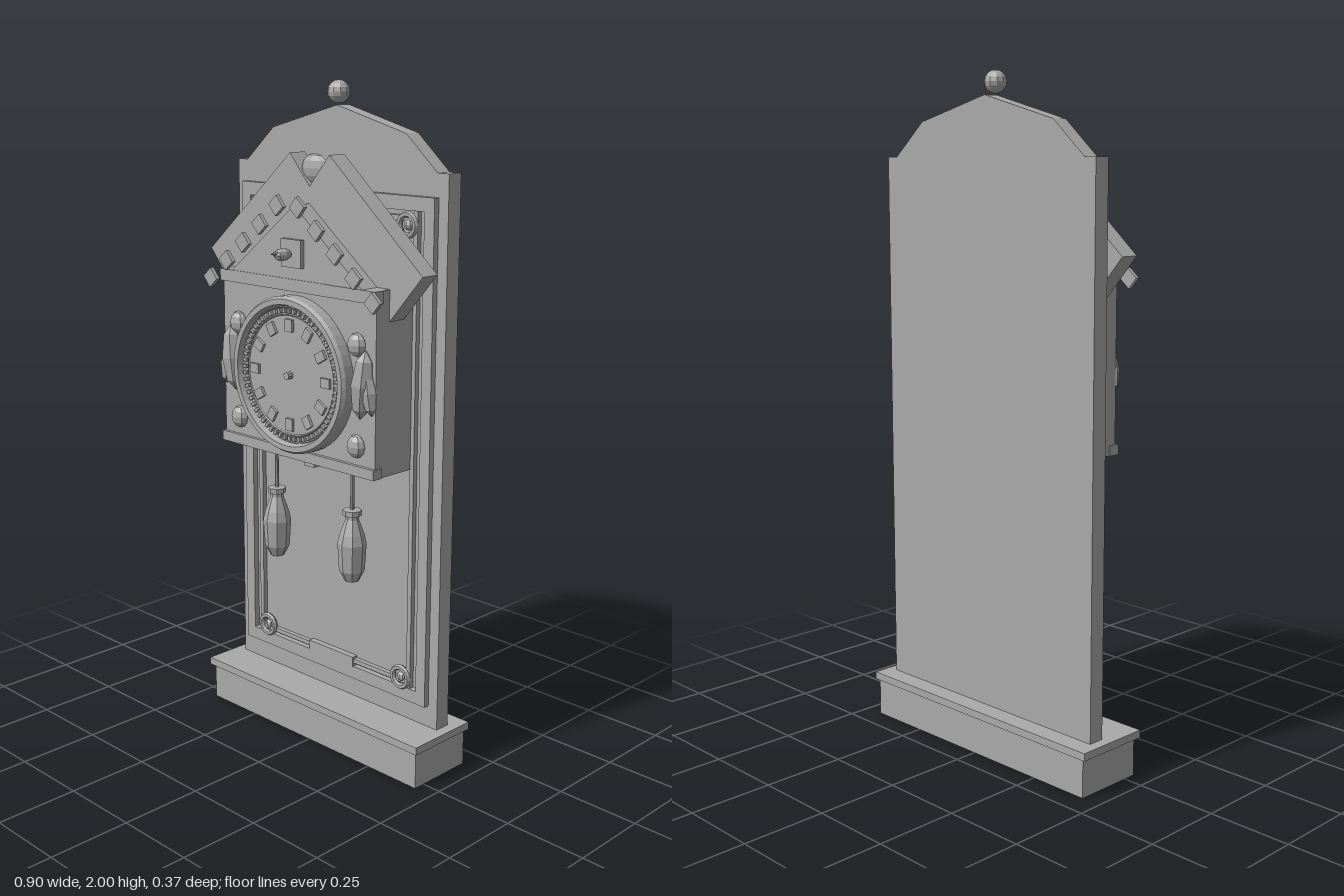
import * as THREE from 'three';

export function createModel() {
  const clock = new THREE.Group();
  clock.name = 'wallClock';
  const grey = new THREE.MeshStandardMaterial({ color: 0xaaaaaa, flatShading: true });
  grey.name = 'plain grey';

  const add = (name, geometry, x = 0, y = 0, z = 0) => {
    const mesh = new THREE.Mesh(geometry, grey);
    mesh.name = name;
    mesh.position.set(x, y, z);
    clock.add(mesh);
    return mesh;
  };
  // Box given by its limits on each axis
  const box = (name, x0, x1, y0, y1, z0, z1) =>
    add(name, new THREE.BoxGeometry(x1 - x0, y1 - y0, z1 - z0), (x0 + x1) / 2, (y0 + y1) / 2, (z0 + z1) / 2);
  // Flat outline pushed forward from z0 to z1
  const plate = (name, points, z0, z1) => {
    const shape = new THREE.Shape(points.map(([x, y]) => new THREE.Vector2(x, y)));
    return add(name, new THREE.ExtrudeGeometry(shape, { depth: z1 - z0, bevelEnabled: false }), 0, 0, z0);
  };
  const lathe = (points, sides) =>
    new THREE.LatheGeometry(points.map(([r, y]) => new THREE.Vector2(r, y)), sides);
  const gem = (name, x, y, z, rx, ry, rz, w = 8, h = 6) => {
    const mesh = add(name, new THREE.SphereGeometry(1, w, h), x, y, z);
    mesh.scale.set(rx, ry, rz);
    return mesh;
  };

  // Base, back board, pediment and finial
  box('base', -0.44, 0.44, 0, 0.12, -0.18, 0.037);
  box('baseLip', -0.452, 0.452, 0.115, 0.138, -0.187, 0.05);
  box('backBoard', -0.42, 0.42, 0.138, 1.76, -0.128, -0.078);
  plate('pediment', [[-0.38, 1.76], [0.38, 1.76], [0.265, 1.86], [0, 1.93], [-0.265, 1.86]], -0.128, -0.078);
  gem('finial', 0, 1.967, -0.085, 0.033, 0.033, 0.033, 10, 8);

  // Panel mouldings on the back board
  box('topRail', -0.386, 0.386, 1.655, 1.695, -0.08, -0.06);
  box('bottomRail', -0.386, 0.386, 0.205, 0.245, -0.08, -0.06);
  box('innerTopRail', -0.32, 0.32, 1.625, 1.64, -0.08, -0.063);
  box('lowerPlaque', -0.095, 0.095, 0.243, 0.275, -0.08, -0.058);
  for (const s of [-1, 1]) {
    const rail = (name, x0, x1, y0, y1, z1) =>
      box(name, Math.min(s * x0, s * x1), Math.max(s * x0, s * x1), y0, y1, -0.08, z1);
    rail('sideRail', 0.35, 0.386, 0.245, 1.655, -0.06);
    rail('innerSideRail', 0.31, 0.325, 0.245, 1.655, -0.063);
    rail('innerBottomRail', 0.095, 0.31, 0.255, 0.268, -0.063);
    for (const y of [0.272, 1.615]) {
      add('cornerRosette', new THREE.TorusGeometry(0.03, 0.009, 6, 16), s * 0.288, y, -0.062);
      gem('rosetteCentre', s * 0.288, y, -0.07, 0.016, 0.016, 0.014);
    }
  }

  // Case with mouldings and gable
  box('case', -0.312, 0.312, 0.92, 1.45, -0.078, 0.085);
  box('caseTopMoulding', -0.316, 0.316, 1.415, 1.45, 0.06, 0.096);
  box('caseBottomMoulding', -0.316, 0.316, 0.92, 0.95, 0.06, 0.096);
  box('pendulumTab', -0.02, 0.02, 0.885, 0.93, 0, 0.035);
  plate('gable', [[-0.265, 1.45], [0.265, 1.45], [0, 1.66]], -0.02, 0.093);

  // Roof boards with trim blocks along the eaves
  const pitch = 0.714;
  for (const s of [-1, 1]) {
    const board = add('roofBoard', new THREE.BoxGeometry(0.463, 0.196, 0.06), s * 0.19, 1.573, 0.002 + s * 0.0005);
    board.rotation.z = -s * pitch;
    for (let i = 0; i < 5; i++) {
      const block = add('trimBlock', new THREE.BoxGeometry(0.042, 0.042, 0.013), s * (0.042 + i * 0.072), 1.658 - i * 0.0585, 0.118);
      block.rotation.z = -s * pitch;
    }
  }
  gem('roofOrnament', 0, 1.758, 0.01, 0.053, 0.042, 0.02, 8, 6);

  // Bird and its door
  box('birdDoor', -0.04, 0.04, 1.485, 1.565, 0.08, 0.107);
  gem('bird', 0, 1.525, 0.138, 0.019, 0.018, 0.032);
  const beak = add('beak', new THREE.ConeGeometry(0.009, 0.03, 6), 0, 1.53, 0.171);
  beak.rotation.x = Math.PI / 2;

  // Dial with bezel, minute blocks and plain hour marks
  const dial = add('dial', lathe([[0.23, 0], [0.23, 0.034], [0.223, 0.045], [0.207, 0.045], [0.2, 0.025], [0, 0.025]], 48), 0, 1.174, 0.084);
  dial.rotation.x = Math.PI / 2;
  const ring = (name, count, radius, w, h, z) => {
    for (let i = 0; i < count; i++) {
      const a = (i / count) * Math.PI * 2;
      const mark = add(name, new THREE.BoxGeometry(w, h, 0.012), Math.sin(a) * radius, 1.174 + Math.cos(a) * radius, z);
      mark.rotation.z = -a;
    }
  };
  ring('minuteBlock', 60, 0.188, 0.01, 0.014, 0.112);
  for (const r of [0.199, 0.177]) add('dialRing', new THREE.TorusGeometry(r, 0.003, 4, 48), 0, 1.174, 0.11);
  ring('hourMark', 12, 0.146, 0.028, 0.036, 0.112);
  const hub = add('hub', new THREE.CylinderGeometry(0.011, 0.011, 0.02, 8), 0, 1.174, 0.117);
  hub.rotation.x = Math.PI / 2;

  // Carved ornaments, hanging rods and weights
  for (const s of [-1, 1]) {
    for (const y of [1.295, 1.005]) gem('knob', s * 0.243, y, 0.088, 0.032, 0.034, 0.022);
    const leaf = gem('carvedLeaf', s * 0.268, 1.185, 0.09, 0.037, 0.1, 0.034, 6, 4);
    leaf.rotation.z = -s * 0.1;
    const sideLeaf = gem('sideLeaf', s * 0.292, 1.165, 0.088, 0.024, 0.065, 0.025, 6, 4);
    sideLeaf.rotation.z = s * 0.15;
    add('rod', new THREE.CylinderGeometry(0.006, 0.006, 0.16, 8), s * 0.16, 0.855, 0.016);
    add('weight', lathe([[0, 0.563], [0.022, 0.565], [0.038, 0.597], [0.043, 0.68], [0.036, 0.71], [0.02, 0.755],
      [0.02, 0.765], [0.028, 0.767], [0.028, 0.783], [0, 0.785]], 8), s * 0.16, 0, 0.016);
  }
  return clock;
}
